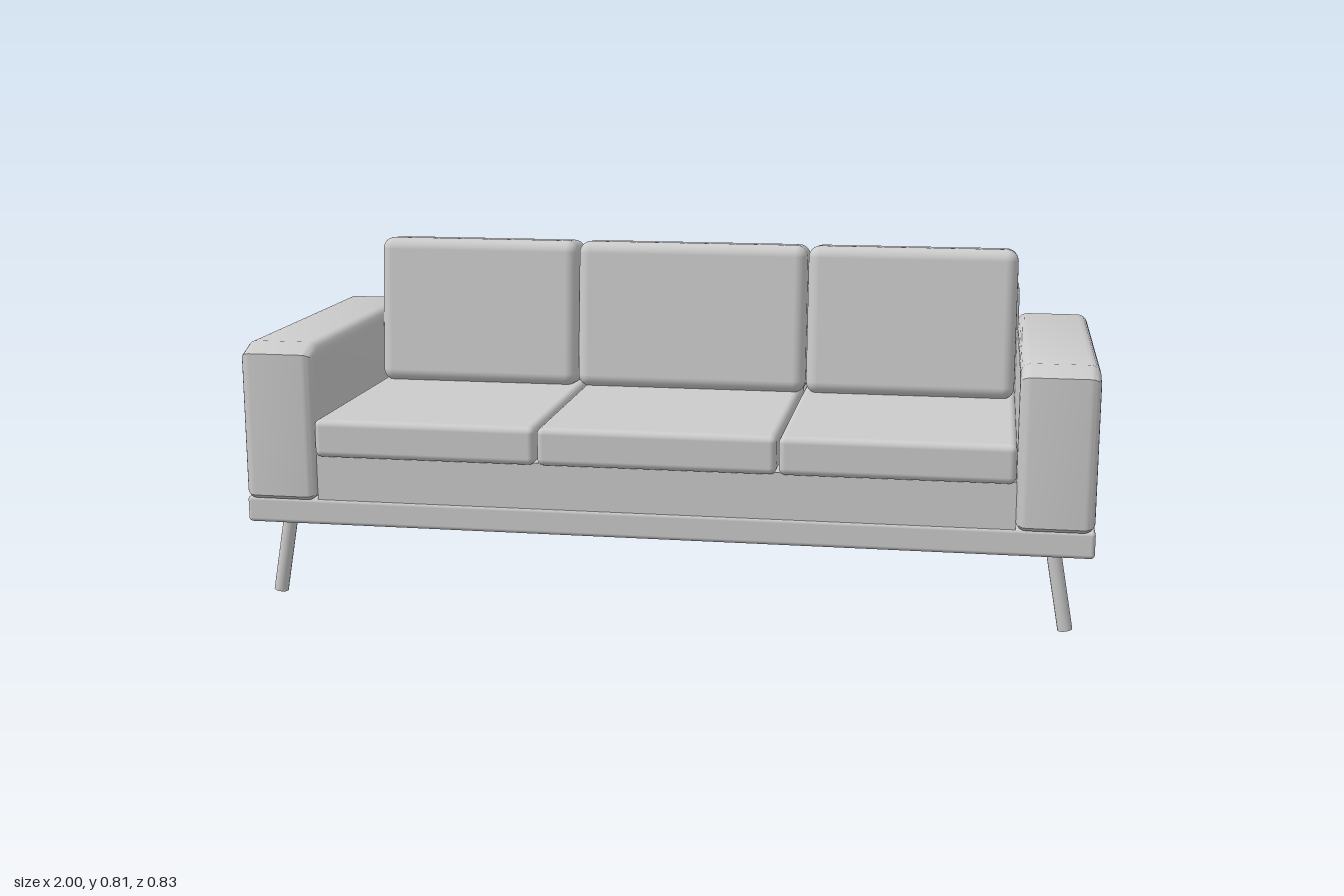
import * as THREE from 'three';
import { RoundedBoxGeometry } from 'three/addons/geometries/RoundedBoxGeometry.js';
import { toCreasedNormals } from 'three/addons/utils/BufferGeometryUtils.js';

const material = new THREE.MeshStandardMaterial({ color: 0xcccccc });

function add(parent, name, geometry, x, y, z) {
  const mesh = new THREE.Mesh(geometry, material);
  mesh.name = name;
  mesh.position.set(x, y, z);
  parent.add(mesh);
  return mesh;
}

// Box given by its limits on each axis, with optional rounded edges
function block(parent, name, [x0, x1], [y0, y1], [z0, z1], radius = 0) {
  const size = [x1 - x0, y1 - y0, z1 - z0];
  const geometry = radius
    ? new RoundedBoxGeometry(...size, 4, radius)
    : new THREE.BoxGeometry(...size);
  return add(parent, name, geometry, (x0 + x1) / 2, (y0 + y1) / 2, (z0 + z1) / 2);
}

// Armrest: side profile with chamfered corners, rounded across its width
function armGeometry() {
  const bevel = 0.025;
  const profile = [
    [-0.4, 0.247], [0.4, 0.247], [0.411, 0.256], [0.411, 0.6],
    [0.355, 0.622], [-0.355, 0.622], [-0.411, 0.6], [-0.411, 0.256],
  ];
  const shape = new THREE.Shape(profile.map(([z, y]) => new THREE.Vector2(-z, y)).reverse());
  const geometry = new THREE.ExtrudeGeometry(shape, {
    depth: 0.178 - 2 * bevel, bevelThickness: bevel, bevelSize: bevel,
    bevelOffset: -bevel, bevelSegments: 5,
  });
  geometry.translate(0, 0, bevel - 0.089);
  geometry.rotateY(Math.PI / 2);
  return toCreasedNormals(geometry, 0.6);
}

// Splayed round leg between a foot and a top point
function leg(parent, side, z) {
  const foot = new THREE.Vector3(side * 0.943, 0.003, z);
  const top = new THREE.Vector3(side * 0.908, 0.2, z);
  const direction = top.clone().sub(foot);
  const centre = foot.clone().add(top).multiplyScalar(0.5);
  const geometry = new THREE.CylinderGeometry(0.017, 0.017, direction.length(), 20);
  const mesh = add(parent, 'leg', geometry, centre.x, centre.y, centre.z);
  mesh.quaternion.setFromUnitVectors(new THREE.Vector3(0, 1, 0), direction.normalize());
}

export function createModel() {
  const sofa = new THREE.Group();
  sofa.name = 'sofa';

  // Frame
  block(sofa, 'basePlatform', [-1, 1], [0.185, 0.249], [-0.414, 0.397], 0.01);
  block(sofa, 'seatSupport', [-0.822, 0.822], [0.247, 0.358], [-0.245, 0.395]);
  block(sofa, 'backrest', [-0.822, 0.822], [0.247, 0.695], [-0.414, -0.24], 0.006);

  // Arms and legs
  const arm = armGeometry();
  for (const side of [-1, 1]) {
    add(sofa, side > 0 ? 'leftArm' : 'rightArm', arm, side * 0.909, 0, 0);
    for (const z of [0.349, -0.373]) leg(sofa, side, z);
  }

  // Three seat cushions
  for (const x of [[-0.82, -0.285], [-0.28, 0.28], [0.285, 0.82]]) {
    block(sofa, 'seatCushion', x, [0.355, 0.446], [-0.24, 0.415], 0.016);
  }

  // Three back cushions leaning back
  for (const x of [[-0.815, -0.295], [-0.293, 0.293], [0.295, 0.815]]) {
    const cushion = block(sofa, 'backCushion', x, [0.438, 0.811], [-0.232, -0.098], 0.03);
    cushion.rotation.x = -0.09;
  }
  return sofa;
}
